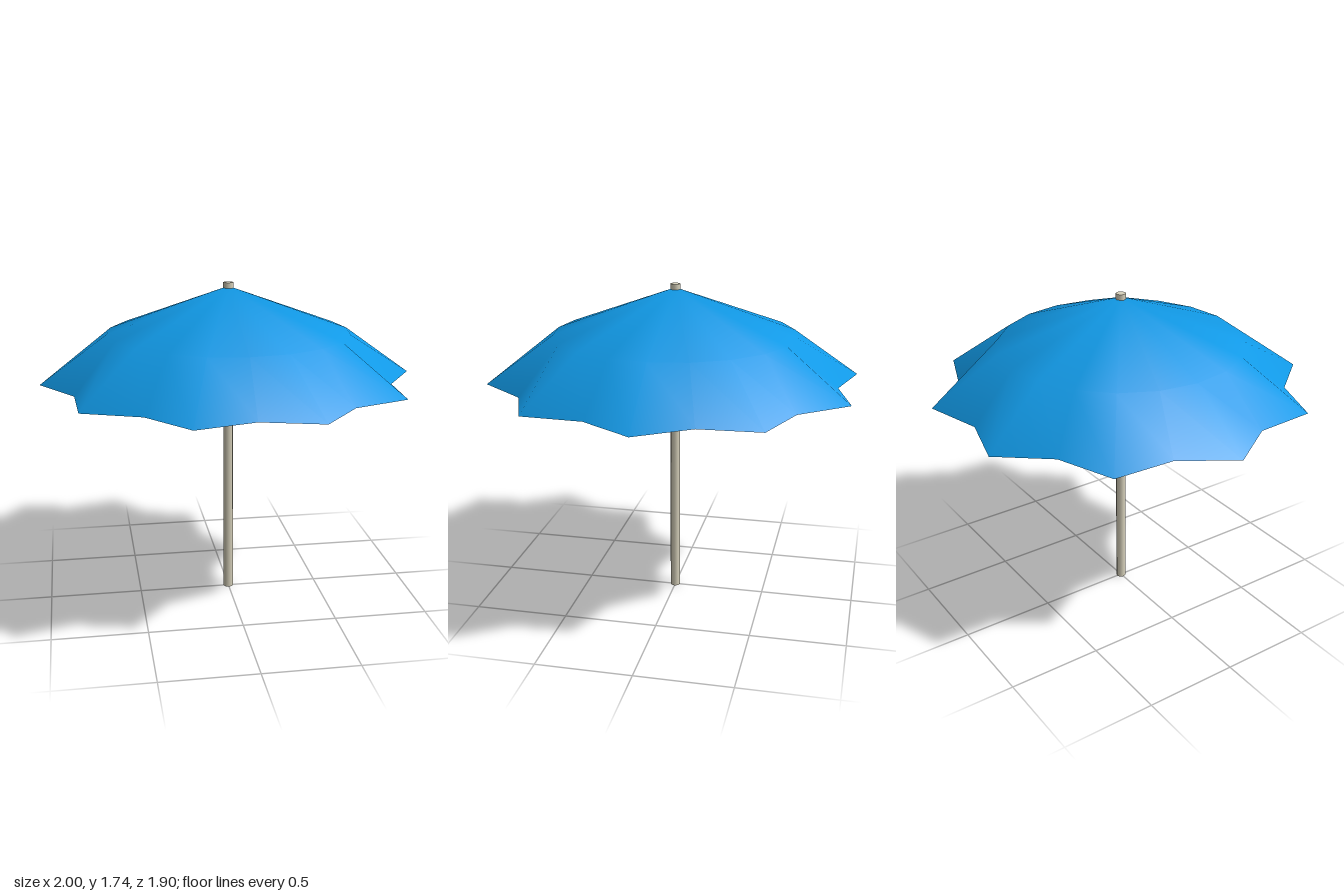
import * as THREE from 'three';
import { mergeVertices } from 'three/addons/utils/BufferGeometryUtils.js';

const RIBS = 10;
const RIM_Y = 1.22, TIP_R = 1, VALLEY_R = 0.867;

// Canopy: a two-tier lathe whose rim alternates between tips and valleys
function canopyGeometry() {
  const profile = [[VALLEY_R, RIM_Y], [0.645, 1.475], [0, 1.715]].map(p => new THREE.Vector2(...p));
  const lathe = new THREE.LatheGeometry(profile, RIBS * 2);
  const pos = lathe.attributes.position;
  for (let column = 1; column <= RIBS * 2; column += 2) {
    const i = column * profile.length;
    const s = TIP_R / VALLEY_R;
    pos.setXYZ(i, pos.getX(i) * s, RIM_Y, pos.getZ(i) * s);
  }
  lathe.deleteAttribute('uv');
  lathe.deleteAttribute('normal');
  const geometry = mergeVertices(lathe, 1e-4);
  geometry.computeVertexNormals();
  return geometry;
}

// Thin rod between two points
function rod(from, to, radius, material) {
  const dir = to.clone().sub(from);
  const mesh = new THREE.Mesh(new THREE.CylinderGeometry(radius, radius, dir.length(), 6), material);
  mesh.position.copy(from).add(to).multiplyScalar(0.5);
  mesh.quaternion.setFromUnitVectors(new THREE.Vector3(0, 1, 0), dir.normalize());
  return mesh;
}

export function createModel() {
  const model = new THREE.Group();
  model.name = 'parasol';

  const fabric = new THREE.MeshStandardMaterial({ color: 0x1199e6, side: THREE.DoubleSide });
  const poleMaterial = new THREE.MeshStandardMaterial({ color: 0xd8d2bc });
  const strutMaterial = new THREE.MeshStandardMaterial({ color: 0xcfa67c });

  const canopy = new THREE.Mesh(canopyGeometry(), fabric);
  canopy.name = 'canopy';
  model.add(canopy);

  // Pole runs from the ground to just above the canopy
  const pole = new THREE.Mesh(new THREE.CylinderGeometry(0.027, 0.027, 1.735, 8), poleMaterial);
  pole.name = 'pole';
  pole.position.y = 1.735 / 2;
  model.add(pole);

  // Struts spread from the pole to the underside, below each valley
  const struts = new THREE.Group();
  struts.name = 'struts';
  for (let i = 0; i < RIBS; i++) {
    const a = (i + 0.5) * Math.PI * 2 / RIBS;
    const at = (r, y) => new THREE.Vector3(r * Math.cos(a), y, r * Math.sin(a));
    const strut = rod(at(0.01, 1.3), at(0.42, 1.535), 0.005, strutMaterial);
    strut.name = 'strut';
    struts.add(strut);
  }
  model.add(struts);

  return model;
}
